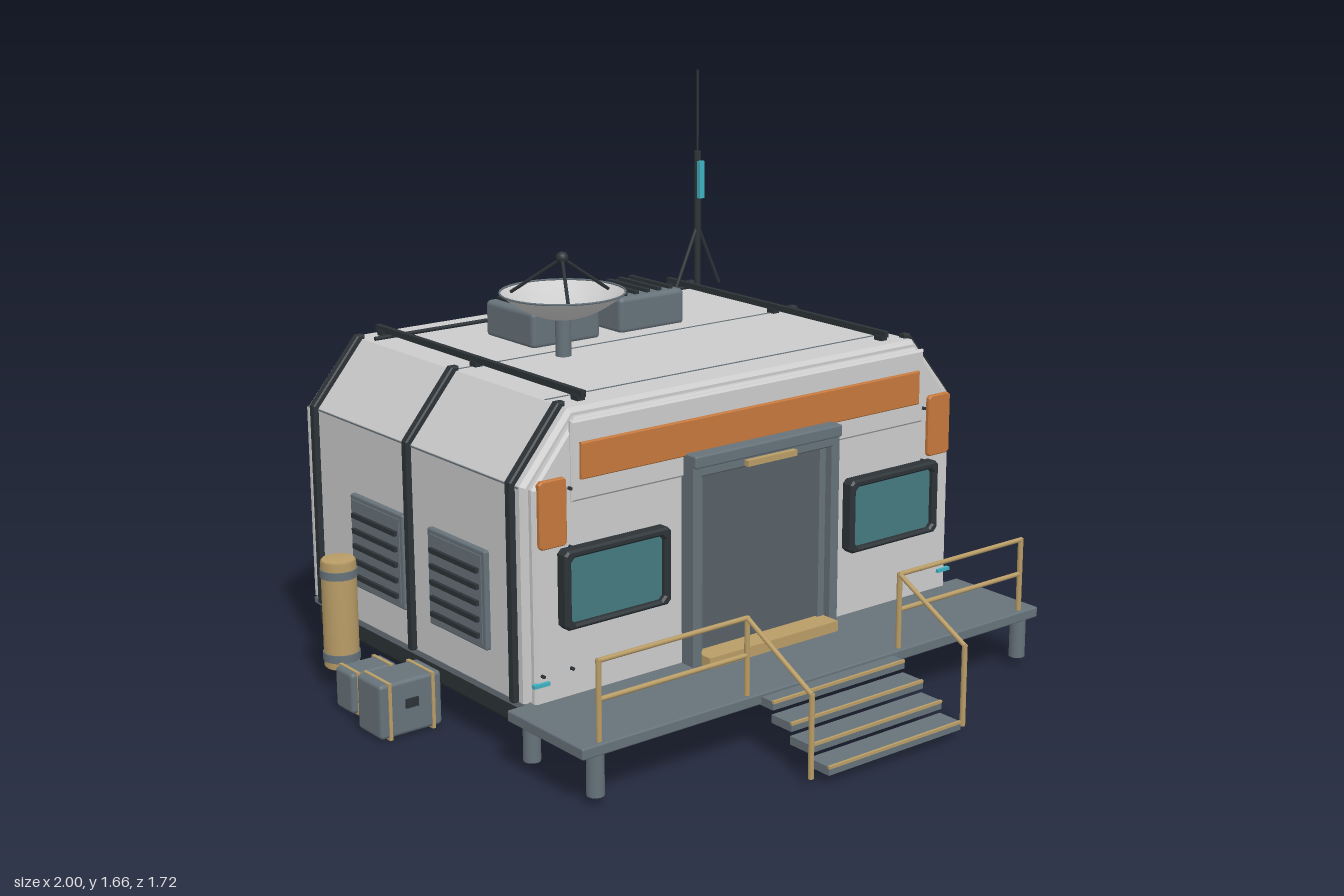
import * as THREE from 'three';
import { RoundedBoxGeometry } from 'three/addons/geometries/RoundedBoxGeometry.js';

const mat = (color, side = THREE.FrontSide) => new THREE.MeshStandardMaterial({ color, side, flatShading: false });
const M = {
  hull: mat(0xcccccc), slate: mat(0x66727a), dark: mat(0x2c3337), door: mat(0x566066), orange: mat(0xc4783c),
  tan: mat(0xb89c66), teal: mat(0x437a80), cyan: mat(0x3fb0c0), dish: mat(0xcccccc, THREE.DoubleSide),
};

export function createModel() {
  const root = new THREE.Group();
  root.name = 'commandCabin';

  const add = (name, geo, m, x = 0, y = 0, z = 0, parent = root) => {
    const mesh = new THREE.Mesh(geo, m);
    mesh.name = name;
    mesh.position.set(x, y, z);
    parent.add(mesh);
    return mesh;
  };
  // box given by its min and max on each axis
  const box = (name, m, [x0, x1], [y0, y1], [z0, z1], r = 0, parent = root) => {
    const s = [Math.abs(x1 - x0), y1 - y0, Math.abs(z1 - z0)];
    const geo = r ? new RoundedBoxGeometry(...s, 2, r) : new THREE.BoxGeometry(...s);
    return add(name, geo, m, (x0 + x1) / 2, (y0 + y1) / 2, (z0 + z1) / 2, parent);
  };
  // round bar between two points
  const bar = (name, m, a, b, r, sides = 10) => {
    const A = new THREE.Vector3(...a), B = new THREE.Vector3(...b);
    const mesh = add(name, new THREE.CylinderGeometry(r, r, A.distanceTo(B), sides), m);
    mesh.position.copy(A).add(B).multiplyScalar(0.5);
    mesh.quaternion.setFromUnitVectors(new THREE.Vector3(0, 1, 0), B.sub(A).normalize());
    return mesh;
  };
  const poly = (pts) => new THREE.Shape(pts.map(([x, y]) => new THREE.Vector2(x, y)));
  // extrude an xy outline from z0 to z1, with an inward bevel
  const slab = (name, m, shape, z0, z1, bevel = 0) => add(name, new THREE.ExtrudeGeometry(shape, {
    depth: z1 - z0 - 2 * bevel, bevelEnabled: bevel > 0, bevelSize: bevel, bevelThickness: bevel,
    bevelOffset: -bevel, bevelSegments: 1, curveSegments: 8,
  }), m, 0, 0, z0 + bevel);
  const section = (d) => poly([[-0.78 + d, 0.165], [0.78 - d, 0.165], [0.78 - d, 0.77 - d * 0.4], [0.625 - d * 0.4, 0.955 - d],
    [-0.625 + d * 0.4, 0.955 - d], [-0.78 + d, 0.77 - d * 0.4]]);
  const rect = (x0, x1, y0, y1, c = 0) => poly([[x0 + c, y0], [x1 - c, y0], [x1, y0 + c], [x1, y1 - c],
    [x1 - c, y1], [x0 + c, y1], [x0, y1 - c], [x0, y0 + c]]);

  // Hull, end walls and base
  slab('hull', M.hull, section(0), -0.84, 0.255, 0.012);
  slab('frontWall', M.hull, section(0.02), 0.24, 0.275, 0.008);
  slab('frontUpperPanel', M.hull, rect(-0.64, 0.64, 0.71, 0.93), 0.265, 0.283, 0.006);
  slab('backWall', M.hull, rect(-0.775, 0.775, 0.175, 0.76), -0.862, -0.83, 0.01);
  slab('baseSkirt', M.dark, rect(-0.775, 0.775, 0.085, 0.17, 0.02), -0.84, 0.255, 0.015);
  box('sillTrim', M.slate, [-0.782, 0.782], [0.155, 0.172], [-0.845, 0.258]);

  // Seams across the roof and along the side shoulders
  for (const z of [0.14, -0.29]) box('roofSeam', M.slate, [-0.62, 0.62], [0.95, 0.957], [z - 0.002, z + 0.002]);
  for (const s of [-1, 1]) box('sideSeam', M.slate, [s * 0.77, s * 0.782], [0.764, 0.768], [-0.83, 0.24]);

  // Ribs wrapped round each shoulder
  for (const s of [-1, 1]) for (const z of [0.21, -0.29, -0.79]) {
    const pts = [[0.765, 0.17], [0.795, 0.17], [0.795, 0.778], [0.638, 0.967], [0.615, 0.967], [0.615, 0.945], [0.765, 0.76]];
    slab('sideRib', M.dark, poly(pts.map(([x, y]) => [s * x, y])), z - 0.014, z + 0.014, 0.004);
  }

  // Roof rails and cable
  for (const s of [-1, 1]) {
    box('roofRail', M.dark, [s * 0.55 - 0.008, s * 0.55 + 0.008], [0.966, 0.984], [-0.81, 0.215]);
    for (const z of [0.19, -0.29, -0.78]) box('railFoot', M.dark, [s * 0.55 - 0.012, s * 0.55 + 0.012], [0.95, 0.97], [z - 0.015, z + 0.015]);
  }
  bar('roofCable', M.dark, [-0.61, 0.962, -0.73], [0.61, 0.962, -0.73], 0.006);

  // Roof ventilation units
  for (const x of [-0.185, 0.132]) {
    box('roofVent', M.slate, [x - 0.122, x + 0.122], [0.95, 1.06], [-0.602, -0.358], 0.015);
    for (let i = -2; i <= 2; i++) box('roofVentSlat', M.dark, [x + i * 0.043 - 0.007, x + i * 0.043 + 0.007], [1.05, 1.07], [-0.58, -0.38]);
  }

  // Dish with feed tripod
  const dx = -0.287, dz = -0.237;
  bar('dishPost', M.slate, [dx, 0.95, dz], [dx, 1.08, dz], 0.023, 16);
  const bowl = [];
  for (let i = 0; i <= 8; i++) bowl.push(new THREE.Vector2(0.001 + 0.179 * i / 8, 1.062 + 0.078 * (i / 8) ** 2));
  add('dishBowl', new THREE.LatheGeometry(bowl, 32), M.dish, dx, 0, dz);
  const rim = add('dishRim', new THREE.TorusGeometry(0.179, 0.003, 6, 32), M.slate, dx, 1.14, dz);
  rim.rotation.x = Math.PI / 2;
  for (let i = 0; i < 3; i++) {
    const a = i * Math.PI * 2 / 3;
    bar('feedArm', M.dark, [dx + Math.cos(a) * 0.162, 1.128, dz + Math.sin(a) * 0.162], [dx, 1.237, dz], 0.005, 8);
  }
  add('feedHorn', new THREE.SphereGeometry(0.018, 16, 12), M.dark, dx, 1.238, dz);

  // Antenna mast
  const ax = 0.613, az = -0.737;
  bar('antennaMast', M.dark, [ax, 0.95, az], [ax, 1.4, az], 0.011);
  bar('antennaWhip', M.dark, [ax, 1.4, az], [ax, 1.66, az], 0.004, 8);
  box('antennaPanel', M.cyan, [ax - 0.01, ax + 0.01], [1.25, 1.37], [az + 0.01, az + 0.024]);
  for (const s of [-1, 1]) bar('antennaBrace', M.dark, [ax, 1.16, az], [ax + s * 0.09, 0.96, az], 0.006, 8);

  // Front sign board
  slab('signBoard', M.orange, rect(-0.615, 0.615, 0.77, 0.87), 0.278, 0.293, 0.003);

  // Doorway
  const frame = rect(-0.268, 0.268, 0.17, 0.775);
  frame.holes.push(rect(-0.238, 0.238, 0.18, 0.715));
  slab('doorFrame', M.slate, frame, 0.265, 0.328, 0.004);
  box('doorLintel', M.slate, [-0.268, 0.268], [0.742, 0.778], [0.27, 0.337], 0.006);
  box('doorPanel', M.door, [-0.24, 0.24], [0.19, 0.715], [0.27, 0.29]);
  for (const s of [-1, 1]) box('doorJamb', M.slate, [s * 0.215, s * 0.24], [0.19, 0.71], [0.285, 0.3]);
  box('doorLamp', M.tan, [-0.09, 0.09], [0.72, 0.737], [0.32, 0.345]);
  box('threshold', M.tan, [-0.238, 0.238], [0.172, 0.203], [0.28, 0.362]);

  // Windows, corner panels and marker lights
  for (const s of [-1, 1]) {
    const [x0, x1] = s > 0 ? [0.33, 0.685] : [-0.685, -0.33];
    const wf = rect(x0, x1, 0.37, 0.59, 0.012);
    wf.holes.push(rect(x0 + 0.022, x1 - 0.022, 0.385, 0.568, 0.012));
    slab('windowFrame', M.dark, wf, 0.268, 0.312, 0.006);
    box('windowGlass', M.teal, [x0 + 0.012, x1 - 0.012], [0.38, 0.575], [0.268, 0.294]);
    const [p0, p1] = s > 0 ? [0.66, 0.748] : [-0.748, -0.66];
    slab('cornerPanel', M.orange, rect(p0, p1, 0.6, 0.785, 0.008), 0.27, 0.288, 0.003);
    box('markerLight', M.cyan, [s * 0.72, s * 0.77], [0.222, 0.232], [0.27, 0.284]);
    for (const [bx, by] of [[0.645, 0.25], [0.74, 0.25], [0.645, 0.59], [0.645, 0.75]]) {
      const bolt = add('wallBolt', new THREE.CylinderGeometry(0.005, 0.005, 0.012, 8), M.dark, s * bx, by, 0.28);
      bolt.rotation.x = Math.PI / 2;
    }
  }

  // Louvred side vents
  for (const s of [-1, 1]) for (const z of [-0.043, -0.45]) {
    box('sideVent', M.slate, [s * 0.77, s * 0.795], [0.28, 0.56], [z - 0.14, z + 0.14], 0.006);
    box('sideVentInset', M.slate, [s * 0.78, s * 0.798], [0.295, 0.545], [z - 0.125, z + 0.125]);
    for (let i = 0; i < 5; i++) {
      const y = 0.318 + i * 0.046;
      box('sideVentSlat', M.dark, [s * 0.78, s * 0.808], [y - 0.007, y + 0.007], [z - 0.115, z + 0.115]);
    }
  }

  // Deck and steps
  box('deck', M.slate, [-0.837, 0.837], [0.14, 0.172], [0.25, 0.585], 0.005);
  for (const s of [-1, 1]) for (const z of [0.56, 0.28]) bar('deckLeg', M.slate, [s * 0.78, 0.025, z], [s * 0.78, 0.145, z], 0.024, 12);
  for (let i = 0; i < 4; i++) {
    const y = 0.162 - i * 0.037, z = 0.632 + i * 0.074;
    box('stepTread', M.slate, [-0.243, 0.243], [y - 0.024, y], [z - 0.08, z]);
    box('stepNosing', M.tan, [-0.243, 0.243], [y - 0.006, y + 0.002], [z - 0.006, z + 0.002]);
  }

  // Handrails
  for (const s of [-1, 1]) {
    const x = s * 0.28, z = 0.567;
    for (const y of [0.39, 0.285]) bar('deckRail', M.tan, [x, y, z], [s * 0.775, y, z], 0.007);
    for (const px of [x, s * 0.772]) bar('railPost', M.tan, [px, 0.17, z], [px, 0.394, z], 0.008);
    bar('stairRail', M.tan, [x, 0.39, z], [x, 0.253, 0.825], 0.007);
    bar('stairPost', M.tan, [x, 0.02, 0.825], [x, 0.256, 0.825], 0.008);
  }

  // Gas tanks and crates on both sides
  const crate = (s, [x0, x1], h, [z0, z1], inset) => {
    box('crate', M.slate, [s * x0, s * x1], [0.004, h], [z0, z1], 0.012);
    for (const x of [x0 + inset, x1 - inset])
      box('crateStrap', M.tan, [s * (x - 0.005), s * (x + 0.005)], [0, h + 0.002], [z0 - 0.003, z1 + 0.003]);
    const cx = (x0 + x1) / 2;
    box('crateLatch', M.dark, [s * (cx - 0.02), s * (cx + 0.02)], [h * 0.5, h * 0.66], [z1 - 0.01, z1 + 0.006]);
  };
  for (const s of [-1, 1]) {
    const tank = [[0.001, 0.065], [0.046, 0.065], [0.051, 0.07], [0.051, 0.385], [0.046, 0.391], [0.001, 0.391]];
    add('gasTank', new THREE.LatheGeometry(tank.map((p) => new THREE.Vector2(...p)), 24), M.tan, s * 0.868, 0, -0.545);
    for (const y of [0.1, 0.35]) add('tankBand', new THREE.CylinderGeometry(0.054, 0.054, 0.024, 24), M.slate, s * 0.868, y, -0.545);
    crate(s, [0.802, 1.0], 0.163, [-0.242, -0.118], 0.03);
    crate(s, [0.815, 0.965], 0.125, [-0.42, -0.328], 0.022);
  }
  return root;
}
